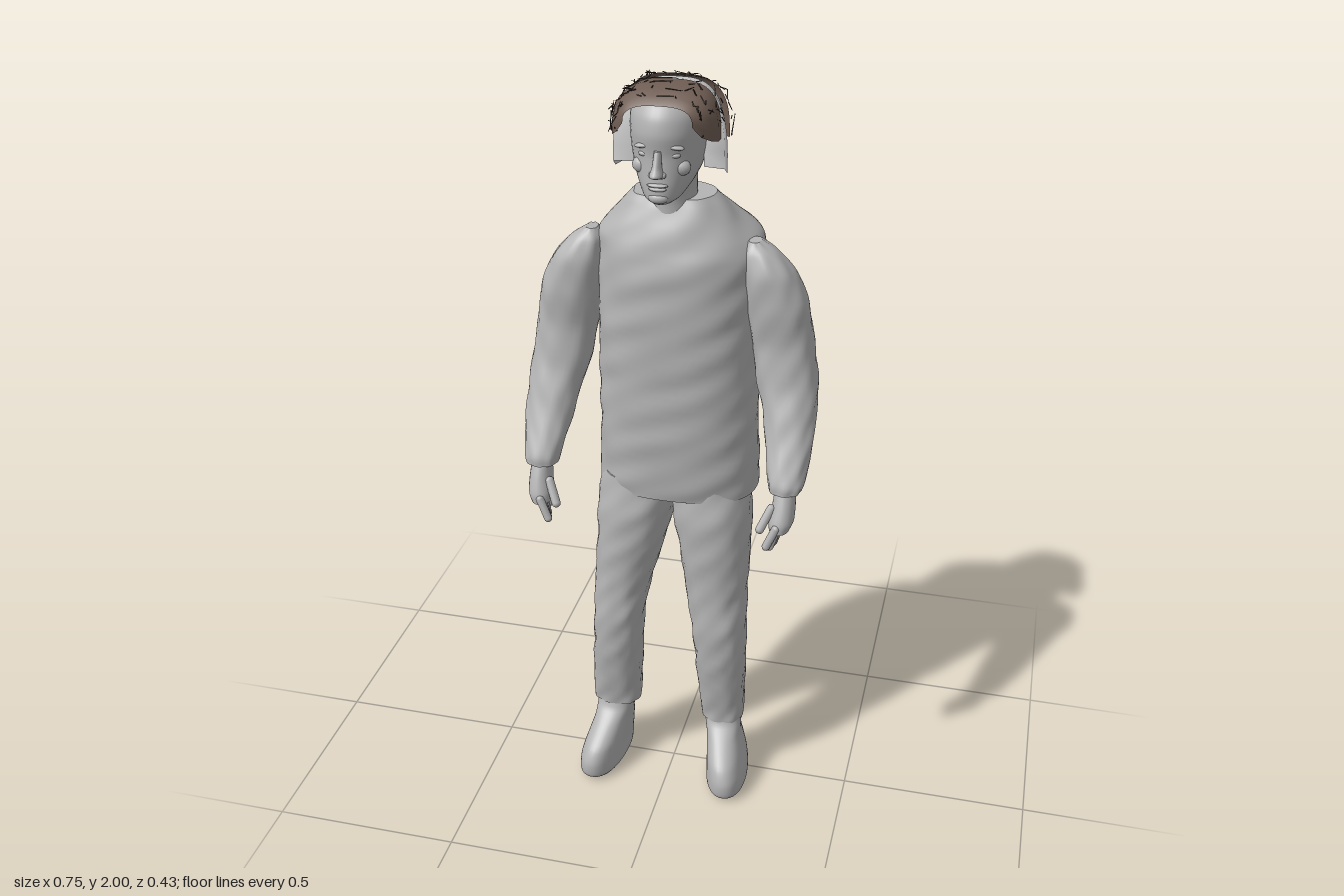
import * as THREE from 'three';

const paint = (name, color) => Object.assign(new THREE.MeshStandardMaterial({ color }), { name });

// Builds a smooth surface from rows of points; wrap closes each row into a ring.
function skin(rows, wrap) {
  const n = rows[0].length, pos = rows.flat(2), index = [];
  for (let i = 0; i < rows.length - 1; i++)
    for (let j = 0; j < (wrap ? n : n - 1); j++) {
      const k = (j + 1) % n, a = i * n + j, b = i * n + k, c = a + n, d = b + n;
      index.push(a, b, d, a, d, c);
    }
  if (wrap) {
    for (const [row, top] of [[rows[0], false], [rows[rows.length - 1], true]]) {
      const base = pos.length / 3, mid = [0, 1, 2].map(q => row.reduce((s, p) => s + p[q], 0) / n);
      pos.push(...row.flat(), ...mid);
      for (let j = 0; j < n; j++) {
        const a = base + j, b = base + (j + 1) % n;
        index.push(...(top ? [a, b, base + n] : [b, a, base + n]));
      }
    }
  }
  const g = new THREE.BufferGeometry();
  g.setAttribute('position', new THREE.Float32BufferAttribute(pos, 3));
  g.setIndex(index);
  g.computeVertexNormals();
  return g;
}

// Horizontal sections from bottom to top: [y, xMin, xMax, zBack, zFront].
function loft(sections, { power = 2, folds = 0, steps = 5, sides = 40 } = {}) {
  const centre = [], radius = [];
  for (const [y, x0, x1, z0, z1] of sections) {
    centre.push(new THREE.Vector3((x0 + x1) / 2, y, (z0 + z1) / 2));
    radius.push(new THREE.Vector3((x1 - x0) / 2, 0, (z1 - z0) / 2));
  }
  const cs = new THREE.CatmullRomCurve3(centre, false, 'catmullrom', 0.4);
  const rs = new THREE.CatmullRomCurve3(radius, false, 'catmullrom', 0.4);
  const count = (sections.length - 1) * steps, rows = [];
  for (let i = 0; i <= count; i++) {
    const c = cs.getPoint(i / count), r = rs.getPoint(i / count), row = [];
    for (let j = 0; j < sides; j++) {
      const a = j / sides * Math.PI * 2, co = Math.cos(a), si = -Math.sin(a);
      const f = folds * (Math.sin(c.y * 38 + a * 3) * Math.sin(a * 5 - c.y * 17) + 0.5 * Math.sin(c.y * 71 - a * 7));
      row.push([
        c.x + (r.x + f) * Math.sign(co) * Math.abs(co) ** (2 / power), c.y,
        c.z + (r.z + f) * Math.sign(si) * Math.abs(si) ** (2 / power)]);
    }
    rows.push(row);
  }
  return skin(rows, true);
}

// Point on an arch over the head; section is [z, halfWidth, yBottom, yTop].
function archPoint([z, w, y0, y1], a) {
  const c = Math.cos(a), s = Math.max(0, Math.sin(a));
  return [w * Math.sign(c) * Math.abs(c) ** 0.65, y0 + (y1 - y0) * s ** 0.65,
    z + 0.03 * Math.abs(c) ** 2 * w / 0.13];
}
const arches = (sections, n = 32) =>
  skin(sections.map(s => Array.from({ length: n + 1 }, (_, j) => archPoint(s, j / n * Math.PI))), false);

export function createModel() {
  const model = new THREE.Group();
  model.name = 'standingMan';
  const grey = paint('body grey', 0xb4b4b4);
  const pale = paint('pale grey', 0xcfcfcf);
  const brown = paint('hair brown', 0x705e54);
  const dark = paint('strand dark brown', 0x3c322d);
  pale.side = brown.side = THREE.DoubleSide;

  const add = (name, geometry, material = grey, parent = model) => {
    const mesh = new THREE.Mesh(geometry, material);
    mesh.name = name;
    parent.add(mesh);
    return mesh;
  };
  const blob = (name, x, y, z, rx, ry, rz, parent) => {
    const m = add(name, new THREE.SphereGeometry(1, 16, 12), grey, parent);
    m.position.set(x, y, z);
    m.scale.set(rx, ry, rz);
    return m;
  };
  // Rounded limb segment between two points
  const rod = (name, a, b, r, material, parent, sides = 10) => {
    const p = new THREE.Vector3(...a), q = new THREE.Vector3(...b), d = q.clone().sub(p);
    const g = sides > 4 ? new THREE.CapsuleGeometry(r, d.length(), 4, sides)
      : new THREE.CylinderGeometry(r * 0.5, r, d.length(), sides);
    const m = add(name, g, material, parent);
    m.position.copy(p).add(q).multiplyScalar(0.5);
    m.quaternion.setFromUnitVectors(new THREE.Vector3(0, 1, 0), d.normalize());
    return m;
  };

  // Jacket with a wide sloping shoulder line
  add('jacket', loft([
    [0.92, -0.2, 0.215, -0.165, 0.105], [0.96, -0.2, 0.217, -0.17, 0.11],
    [1.1, -0.197, 0.212, -0.177, 0.12], [1.25, -0.195, 0.21, -0.183, 0.125],
    [1.4, -0.195, 0.21, -0.192, 0.13], [1.52, -0.193, 0.212, -0.208, 0.13],
    [1.58, -0.195, 0.213, -0.215, 0.125], [1.615, -0.19, 0.2, -0.205, 0.115],
    [1.66, -0.153, 0.156, -0.15, 0.098], [1.7, -0.118, 0.119, -0.1, 0.08],
    [1.72, -0.098, 0.1, -0.08, 0.068],
  ], { power: 2.3, folds: 0.0025, steps: 7, sides: 64 }));

  // Trouser legs
  add('rightLeg', loft([
    [0.2, -0.23, -0.098, -0.045, 0.06], [0.23, -0.23, -0.095, -0.05, 0.065],
    [0.4, -0.222, -0.086, -0.052, 0.095], [0.52, -0.217, -0.078, -0.058, 0.105],
    [0.62, -0.213, -0.06, -0.077, 0.1], [0.75, -0.208, -0.025, -0.105, 0.105],
    [0.86, -0.205, 0.002, -0.125, 0.105], [0.96, -0.19, 0.01, -0.13, 0.09],
  ], { power: 2.2, folds: 0.0022 }));
  add('leftLeg', loft([
    [0.19, 0.085, 0.2, -0.045, 0.06], [0.23, 0.082, 0.203, -0.05, 0.065],
    [0.4, 0.068, 0.206, -0.052, 0.095], [0.52, 0.056, 0.207, -0.058, 0.105],
    [0.62, 0.04, 0.203, -0.077, 0.1], [0.75, 0.018, 0.207, -0.105, 0.105],
    [0.86, -0.002, 0.207, -0.125, 0.105], [0.96, -0.01, 0.19, -0.13, 0.09],
  ], { power: 2.2, folds: 0.0022 }));

  // Shoes, turned slightly outward
  for (const side of [-1, 1]) {
    const shoe = add(side < 0 ? 'rightShoe' : 'leftShoe', loft([
      [0, -0.032, 0.062, -0.06, 0.155], [0.02, -0.042, 0.074, -0.085, 0.178],
      [0.06, -0.042, 0.07, -0.093, 0.18], [0.1, -0.043, 0.06, -0.09, 0.16],
      [0.145, -0.046, 0.05, -0.07, 0.105], [0.18, -0.052, 0.05, -0.045, 0.065],
      [0.22, -0.052, 0.05, -0.035, 0.05],
    ], { power: 2.2 }));
    shoe.scale.x = side;
    shoe.position.x = side < 0 ? -0.168 : 0.146;
    shoe.rotation.y = side * 0.12;
  }

  // Sleeves bent at the elbow, with hands
  for (const side of [-1, 1]) {
    const arm = new THREE.Group();
    arm.name = side < 0 ? 'rightArm' : 'leftArm';
    arm.scale.x = side;
    model.add(arm);
    add('sleeve', loft([
      [1.015, 0.275, 0.355, 0.085, 0.172], [1.04, 0.27, 0.363, 0.068, 0.17],
      [1.1, 0.255, 0.37, 0.03, 0.14], [1.18, 0.24, 0.372, -0.03, 0.107],
      [1.26, 0.215, 0.367, -0.06, 0.08], [1.36, 0.198, 0.352, -0.07, 0.066],
      [1.46, 0.18, 0.335, -0.068, 0.074], [1.54, 0.172, 0.302, -0.055, 0.072],
      [1.59, 0.172, 0.257, -0.035, 0.056], [1.618, 0.188, 0.216, -0.012, 0.035],
    ], { power: 2.2, folds: 0.0018 }), grey, arm);
    add('palm', loft([
      [0.92, 0.285, 0.335, 0.135, 0.2], [0.945, 0.282, 0.345, 0.115, 0.198],
      [0.985, 0.288, 0.345, 0.1, 0.182], [1.03, 0.29, 0.34, 0.095, 0.16],
    ], { sides: 20 }), grey, arm);
    for (let i = 0; i < 4; i++) {
      const z = 0.14 + i * 0.018, len = [0.042, 0.056, 0.06, 0.05][i];
      rod('finger', [0.318 - i * 0.004, 0.935, z], [0.302 - i * 0.006, 0.935 - len, z + 0.007], 0.0105, grey, arm);
    }
    rod('thumb', [0.288, 0.975, 0.165], [0.265, 0.925, 0.188], 0.0115, grey, arm);
  }

  // Neck and head
  add('neck', loft([
    [1.66, -0.065, 0.065, -0.065, 0.085], [1.72, -0.058, 0.058, -0.06, 0.085],
    [1.8, -0.06, 0.06, -0.06, 0.1]]));
  const head = new THREE.Group();
  head.name = 'head';
  model.add(head);
  add('skull', loft([
    [1.735, -0.025, 0.025, 0.075, 0.148], [1.748, -0.043, 0.043, 0.045, 0.162],
    [1.775, -0.063, 0.063, -0.03, 0.163], [1.805, -0.077, 0.077, -0.07, 0.16],
    [1.85, -0.087, 0.087, -0.08, 0.157], [1.895, -0.09, 0.09, -0.082, 0.163],
    [1.935, -0.088, 0.088, -0.08, 0.155], [1.965, -0.075, 0.075, -0.065, 0.132],
    [1.982, -0.04, 0.04, -0.02, 0.09],
  ]), grey, head);

  // Face: nose, lips, chin, and paired brows, eyes and nostrils
  add('nose', loft([
    [1.802, -0.013, 0.013, 0.145, 0.168], [1.812, -0.016, 0.016, 0.145, 0.195],
    [1.83, -0.011, 0.011, 0.145, 0.184], [1.865, -0.008, 0.008, 0.14, 0.167],
  ], { sides: 16 }), grey, head);
  blob('upperLip', 0, 1.785, 0.16, 0.025, 0.005, 0.009, head);
  blob('lowerLip', 0, 1.776, 0.159, 0.021, 0.0055, 0.009, head);
  blob('chin', 0, 1.753, 0.152, 0.024, 0.014, 0.015, head);
  for (const s of [-1, 1]) {
    blob('nostril', s * 0.013, 1.81, 0.163, 0.008, 0.007, 0.012, head);
    blob('eye', s * 0.034, 1.852, 0.139, 0.015, 0.007, 0.01, head);
    blob('brow', s * 0.036, 1.872, 0.143, 0.023, 0.006, 0.011, head).rotation.z = -s * 0.12;
    blob('cheek', s * 0.045, 1.82, 0.122, 0.024, 0.02, 0.019, head);
  }

  // Pale shell around the skull, left bare as a band across the crown
  add('headShell', arches([
    [-0.088, 0, 1.8, 1.92], [-0.082, 0.06, 1.79, 1.95], [-0.065, 0.102, 1.785, 1.968],
    [-0.04, 0.124, 1.782, 1.982], [0, 0.135, 1.782, 1.988], [0.025, 0.133, 1.8, 1.988],
    [0.03, 0.083, 1.8, 1.96]]), pale, head);

  // Front and back hair patches
  const front = [[0.018, 0.122, 1.87, 1.992], [0.06, 0.125, 1.875, 1.995], [0.095, 0.115, 1.885, 1.99],
    [0.125, 0.098, 1.9, 1.98], [0.142, 0.08, 1.925, 1.962]];
  const back = [[-0.04, 0.13, 1.855, 1.989], [-0.068, 0.11, 1.85, 1.978], [-0.087, 0.068, 1.85, 1.96],
    [-0.094, 0, 1.85, 1.935]];
  add('frontHair', arches(front), brown, head);
  add('backHair', arches(back), brown, head);

  // Loose strands lying over the hair
  let seed = 7;
  const rnd = () => (seed = (seed * 16807) % 2147483647) / 2147483647;
  for (const patch of [front, back])
    for (let i = 0; i < 75; i++) {
      const s = patch[Math.floor(rnd() * (patch.length - 1))], a = rnd() * Math.PI;
      const p = archPoint(s, a), q = archPoint(s, a + (rnd() - 0.5) * 0.5);
      const lift = 0.003 + rnd() * 0.007, top = v => Math.min(v, 1.996);
      rod('strand', [p[0] * 1.03, top(p[1]), p[2]],
        [q[0] * (1 + lift * 8), top(q[1] + lift), q[2] + (rnd() - 0.5) * 0.035], 0.0016, dark, head, 4);
    }
  return model;
}
